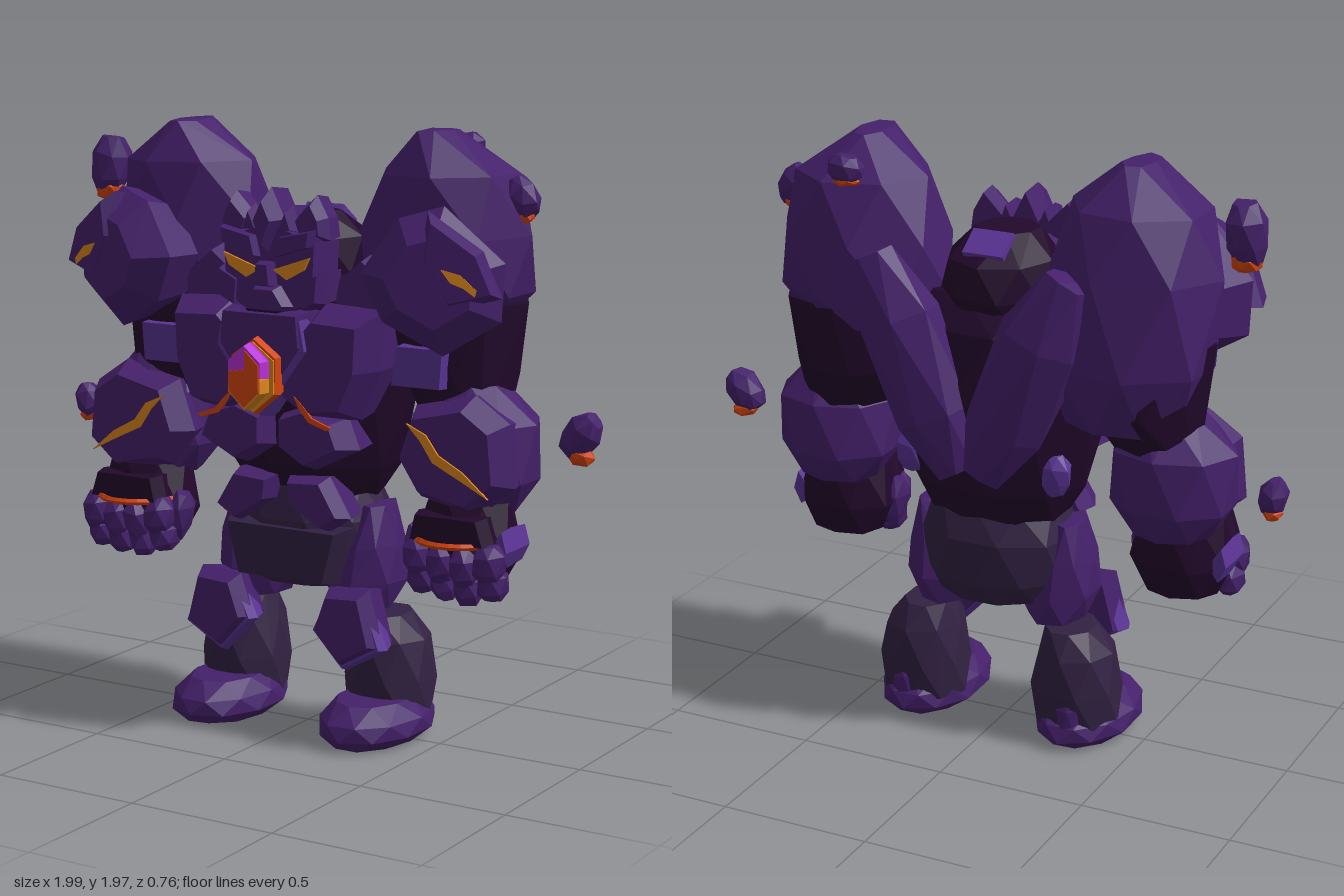
import * as THREE from 'three';
import { ConvexGeometry } from 'three/addons/geometries/ConvexGeometry.js';

const mat = (name, color) => {
  const m = new THREE.MeshStandardMaterial({ color, flatShading: true });
  m.name = name;
  return m;
};

export function createModel() {
  const purple = mat('purple rock', 0x44206a);
  const light = mat('light purple rock', 0x5a3394);
  const dark = mat('dark core rock', 0x22082b);
  const grey = mat('grey violet rock', 0x322142);
  const ember = mat('ember orange', 0xd4440c);
  const gold = mat('gold glow', 0xde861a);
  const violet = mat('violet crystal', 0xb830d8);
  const root = new THREE.Group();
  root.name = 'rockGolem';

  let seed = 7;
  const rand = () => ((seed = (seed * 16807) % 2147483647) / 2147483647) - 0.5;
  const V = (x, y, z) => new THREE.Vector3(x, y, z);

  function add(name, geometry, material, parent = root) {
    const m = new THREE.Mesh(geometry, material);
    m.name = name;
    parent.add(m);
    return m;
  }
  function group(name, parent = root) {
    const g = new THREE.Group();
    g.name = name;
    parent.add(g);
    return g;
  }
  // Faceted solid wrapped round rings of [y, cx, cz, rx, rz]
  function hull(name, rings, material, parent, s = 1, n = 7, jitter = 0.12) {
    const pts = [];
    rings.forEach(([y, cx, cz, rx, rz], k) => {
      for (let i = 0; i < n; i++) {
        const a = ((i + 0.5 * (k % 2)) / n) * Math.PI * 2, f = 1.04 + jitter * rand();
        pts.push(V(s * (cx + Math.cos(a) * rx * f), y + rand() * jitter * 0.12, cz + Math.sin(a) * rz * f));
      }
    });
    return add(name, new ConvexGeometry(pts), material, parent);
  }
  // Chipped stone of a given size at a position
  function rock(name, [w, h, d], [x, y, z], material, parent, rot = 0, n = 7) {
    const rings = [[-0.5, 0.55], [-0.25, 0.92], [0.2, 1], [0.5, 0.55]]
      .map(([t, f]) => [t * h, 0, 0, (w / 2) * f, (d / 2) * f]);
    const m = hull(name, rings, material, parent, 1, n);
    m.position.set(x, y, z);
    m.rotation.z = rot;
    return m;
  }
  // Bevelled plate: outline of [x, y] from zBack to zFront with a smaller front face
  function plate(name, outline, zBack, zFront, material, parent, s = 1, inset = 0.78) {
    const cx = outline.reduce((t, p) => t + p[0], 0) / outline.length;
    const cy = outline.reduce((t, p) => t + p[1], 0) / outline.length;
    const mid = zBack + (zFront - zBack) * 0.6, pts = [];
    for (const [x, y] of outline) {
      const at = (f, z) => pts.push(V(s * (cx + (x - cx) * f), cy + (y - cy) * f, z));
      at(0.88, zBack); at(1, mid); at(inset, zFront);
    }
    return add(name, new ConvexGeometry(pts), material, parent);
  }
  // Thin flat inlay lying on a front face
  function inlay(name, outline, z, material, parent, s = 1) {
    const shape = new THREE.Shape(outline.map(([x, y]) => new THREE.Vector2(s * x, y)));
    const g = new THREE.ExtrudeGeometry(shape, { depth: 0.009, bevelEnabled: false });
    g.translate(0, 0, z);
    return add(name, g, material, parent);
  }

  // Core of the body
  hull('torso', [[0.78, 0, -0.06, 0.22, 0.17], [0.9, 0, -0.06, 0.29, 0.22], [1.2, 0, -0.06, 0.37, 0.24],
    [1.42, 0, -0.06, 0.4, 0.2], [1.52, 0, -0.04, 0.24, 0.15]], dark, root, 1, 9, 0.05);
  hull('pelvis', [[0.5, 0, -0.05, 0.2, 0.17], [0.57, 0, -0.05, 0.25, 0.205], [0.72, 0, -0.05, 0.26, 0.21],
    [0.83, 0, -0.05, 0.21, 0.18]], grey, root, 1, 10, 0.05);
  plate('belt', [[-0.23, 0.71], [0.23, 0.71], [0.18, 0.52], [-0.18, 0.52]], 0, 0.175, grey, root, 1, 0.88);

  // Head
  const head = group('head');
  hull('skull', [[1.38, 0, -0.02, 0.15, 0.14], [1.52, 0, -0.05, 0.18, 0.19], [1.63, 0, -0.04, 0.17, 0.18],
    [1.71, 0, 0, 0.1, 0.1]], dark, head, 1, 8, 0.04);
  const chip = add('skullChip', new THREE.BoxGeometry(0.14, 0.02, 0.1), light, head);
  chip.position.set(0, 1.685, -0.14);
  chip.rotation.x = -0.6;
  plate('face', [[-0.18, 1.64], [-0.17, 1.46], [-0.09, 1.4], [0.09, 1.4], [0.17, 1.46], [0.18, 1.64], [0, 1.7]],
    0.07, 0.235, purple, head, 1, 0.93);
  plate('muzzle', [[-0.05, 1.5], [-0.1, 1.43], [-0.06, 1.38], [0.06, 1.38], [0.1, 1.43], [0.05, 1.5]],
    0.15, 0.27, purple, head, 1, 0.7);
  plate('nose', [[-0.025, 1.57], [-0.035, 1.49], [0.035, 1.49], [0.025, 1.57]], 0.2, 0.28, purple, head);
  plate('mouth', [[-0.07, 1.42], [0.07, 1.42], [0.04, 1.395], [-0.04, 1.395]], 0.2, 0.275, dark, head, 1, 0.9);
  plate('centreCrest', [[0, 1.8], [-0.05, 1.7], [0, 1.58], [0.05, 1.7]], 0.12, 0.28, purple, head, 1, 0.6);
  for (const s of [1, -1]) {
    inlay('eye', [[0.025, 1.545], [0.07, 1.56], [0.16, 1.59], [0.14, 1.55], [0.075, 1.515]], 0.242, gold, head, s);
    plate('brow', [[0.02, 1.575], [0.17, 1.62], [0.18, 1.68], [0.04, 1.65]], 0.12, 0.265, purple, head, s);
    plate('cheek', [[0.11, 1.51], [0.19, 1.55], [0.18, 1.44], [0.12, 1.41]], 0.1, 0.245, purple, head, s);
    plate('crownSpike', [[0.15, 1.78], [0.07, 1.7], [0.1, 1.62], [0.2, 1.64], [0.19, 1.71]], 0.12, 0.23, purple, head, s, 0.65);
    plate('innerSpike', [[0.07, 1.745], [0.03, 1.66], [0.1, 1.66]], 0.12, 0.25, purple, head, s, 0.6);
  }

  // Chest heart crystal
  const heart = group('heartCrystal');
  plate('keystoneRim', [[-0.15, 1.4], [0.15, 1.4], [0.17, 1.3], [0, 1.07], [-0.17, 1.3]], 0.1, 0.285, light, heart, 1, 0.95);
  plate('chestKeystone', [[-0.15, 1.42], [0.15, 1.42], [0.16, 1.31], [0, 1.09], [-0.16, 1.31]], 0.1, 0.295, purple, heart, 1, 0.9);
  plate('setting', [[0, 1.34], [0.085, 1.28], [0.085, 1.16], [0, 1.09], [-0.085, 1.16], [-0.085, 1.28]], 0.26, 0.325, ember, heart, 1, 0.95);
  inlay('settingGlow', [[0, 1.325], [0.078, 1.27], [0.078, 1.165], [0, 1.1], [-0.078, 1.165], [-0.078, 1.27]], 0.322, gold, heart);
  plate('lowerGem', [[0.065, 1.215], [0.065, 1.17], [0, 1.11], [-0.065, 1.17], [-0.065, 1.215]], 0.3, 0.38, gold, heart, 1, 0.9);
  plate('upperGem', [[0.065, 1.215], [0.065, 1.27], [0, 1.325], [-0.065, 1.27], [-0.065, 1.215]], 0.3, 0.38, violet, heart, 1, 0.9);
  inlay('gemFace', [[0.005, 1.305], [0.055, 1.26], [0.055, 1.175], [0, 1.125], [-0.055, 1.175], [-0.055, 1.235], [0.005, 1.245]],
    0.375, ember, heart);

  for (const s of [1, -1]) {
    const side = group(s > 0 ? 'leftSide' : 'rightSide');

    // Chest, belly and back slabs
    plate('collar', [[0.16, 1.42], [0.18, 1.52], [0.28, 1.6], [0.4, 1.5], [0.4, 1.4]], -0.12, 0.14, purple, side, s);
    plate('pectoral', [[0.38, 1.43], [0.17, 1.44], [0.03, 1.3], [0.03, 1.12], [0.13, 1.06], [0.3, 1.08], [0.37, 1.24]],
      0, 0.27, purple, side, s, 0.75);
    plate('ribPlate', [[0.01, 1.08], [0.12, 1.12], [0.25, 1.08], [0.29, 0.98], [0.13, 0.9], [0.01, 0.97]],
      0.02, 0.245, purple, side, s, 0.75);
    inlay('chestCrack', [[0.115, 1.155], [0.15, 1.125], [0.18, 1.09], [0.25, 1.065], [0.235, 1.055], [0.17, 1.075], [0.135, 1.115]],
      0.264, ember, side, s);
    plate('waistPlate', [[0.02, 0.87], [0.17, 0.88], [0.25, 0.75], [0.17, 0.7], [0.03, 0.79]], 0.05, 0.2, purple, side, s);
    rock('backSlab', [0.28, 0.74, 0.2], [s * 0.19, 1.31, -0.275], purple, side, -s * 0.42);
    rock('flankChip', [0.12, 0.13, 0.08], [s * 0.25, 0.98, -0.19], light, side);

    // Shoulder boulder, reaching lower on the right
    const base = s > 0 ? [[1.38, 0.45, -0.09, 0.2, 0.17], [1.48, 0.46, -0.09, 0.28, 0.2]]
      : [[1.16, 0.46, -0.13, 0.18, 0.13], [1.36, 0.47, -0.12, 0.27, 0.2]];
    hull('shoulderBoulder', [...base, [1.66, 0.48, -0.08, 0.28, 0.22], [1.85, 0.48, -0.05, 0.22, 0.2],
      [1.98, 0.46, -0.02, 0.05, 0.1]], purple, side, s, 7, 0.08);

    // Pauldron, turned outward
    const pauldron = group('pauldron', side);
    pauldron.position.set(s * 0.58, 1.54, 0.19);
    pauldron.rotation.y = s * 0.32;
    plate('pauldronStone', [[0.2, -0.12], [0.21, 0.06], [0.02, 0.23], [-0.12, 0.19], [-0.24, 0.02], [-0.17, -0.13], [0.02, -0.23]],
      -0.13, 0.09, purple, pauldron, s, 0.6);
    plate('pauldronChip', [[0.21, -0.04], [0.15, 0.1], [-0.02, 0.22], [-0.04, 0.08], [0.05, -0.08]], -0.02, 0.105, purple, pauldron, s, 0.8);
    inlay('pauldronCrack', [[0.03, 0.05], [0.09, 0.035], [0.14, -0.01], [0.135, -0.03], [0.1, -0.005], [0.06, 0.01]],
      0.1, gold, pauldron, s);

    // Arm
    hull('upperArm', [[1.08, 0.55, -0.06, 0.14, 0.13], [1.22, 0.51, -0.09, 0.18, 0.18], [1.45, 0.49, -0.09, 0.25, 0.19]],
      dark, side, s, 8, 0.05);
    plate('bicepPlate', [[0.38, 1.19], [0.4, 1.32], [0.57, 1.32], [0.56, 1.19]], 0, 0.13, light, side, s, 0.95);
    hull('forearm', [[0.8, 0.6, -0.04, 0.13, 0.13], [0.9, 0.6, -0.04, 0.2, 0.18], [1.08, 0.6, -0.04, 0.2, 0.18],
      [1.2, 0.59, -0.04, 0.1, 0.1]], purple, side, s, 8, 0.06);
    plate('bracer', [[0.8, 0.9], [0.78, 1.1], [0.66, 1.18], [0.45, 1.13], [0.39, 0.96], [0.47, 0.84], [0.68, 0.8]],
      -0.04, 0.16, purple, side, s, 0.78);
    inlay('bracerCrack', [[0.46, 1.085], [0.53, 1.055], [0.575, 0.995], [0.66, 0.95], [0.75, 0.875], [0.65, 0.925],
      [0.555, 0.97], [0.51, 1.035]], 0.158, gold, side, s);
    hull('hand', [[0.58, 0.61, 0.02, 0.12, 0.1], [0.68, 0.61, 0.03, 0.17, 0.14], [0.84, 0.61, 0.02, 0.13, 0.13]],
      dark, side, s, 8, 0.05);
    plate('handBack', [[0.47, 0.72], [0.49, 0.81], [0.73, 0.81], [0.76, 0.72]], 0.05, 0.185, dark, side, s, 0.88);
    const glow = new THREE.TorusGeometry(0.135, 0.011, 5, 12, Math.PI);
    glow.rotateX(Math.PI / 2);
    add('wristGlow', glow, ember, side).position.set(s * 0.61, 0.725, 0.085);
    plate('handSide', [[0.77, 0.77], [0.79, 0.7], [0.76, 0.64], [0.72, 0.7]], -0.05, 0.11, light, side, s, 0.9);
    for (let i = 0; i < 4; i++) {
      const x = s * (0.495 + i * 0.083), lift = Math.abs(i - 1.6) * 0.018;
      rock('knuckle', [0.1, 0.12, 0.13], [x, 0.645 + lift, 0.14], purple, side, 0, 6);
      rock('finger', [0.09, 0.11, 0.13], [x, 0.575 + lift, 0.11], purple, side, 0, 6);
    }
    rock('thumb', [0.08, 0.16, 0.11], [s * 0.46, 0.67, 0.07], purple, side, s * 0.2, 6);

    // Leg
    hull('thigh', [[0.43, 0.2, -0.03, 0.09, 0.12], [0.52, 0.2, -0.03, 0.13, 0.14], [0.64, 0.25, -0.03, 0.07, 0.12],
      [0.77, 0.25, -0.04, 0.04, 0.08]], purple, side, s, 7, 0.06);
    plate('kneeRim', [[0.32, 0.5], [0.17, 0.5], [0.11, 0.375], [0.23, 0.25], [0.38, 0.335]], 0.08, 0.17, light, side, s, 0.9);
    plate('kneePlate', [[0.32, 0.53], [0.17, 0.52], [0.12, 0.38], [0.23, 0.26], [0.37, 0.34]], 0.06, 0.2, purple, side, s, 0.78);
    hull('shin', [[0.08, 0.28, -0.06, 0.14, 0.13], [0.2, 0.28, -0.06, 0.145, 0.145], [0.33, 0.28, -0.06, 0.125, 0.135],
      [0.41, 0.26, -0.06, 0.08, 0.1]], grey, side, s, 8, 0.05);
    hull('foot', [[0.015, 0.285, 0.03, 0.12, 0.2], [0.05, 0.285, 0.03, 0.16, 0.24], [0.1, 0.285, 0.03, 0.155, 0.235],
      [0.15, 0.28, 0.03, 0.11, 0.17]], purple, side, s, 10, 0.04);
    rock('heel', [0.09, 0.13, 0.07], [s * 0.3, 0.13, -0.17], purple, side);
  }

  // Floating shards with glowing undersides: position, size, tilt
  const shards = [
    [[-0.83, 1.81, -0.07], [0.13, 0.19, 0.14], -0.1],
    [[-0.95, 0.99, -0.09], [0.09, 0.11, 0.1], 0.25],
    [[0.93, 1.05, -0.11], [0.12, 0.14, 0.11], -0.7],
    [[0.73, 1.78, -0.08], [0.1, 0.12, 0.1], 0.5],
    [[0.43, 1.91, -0.27], [0.12, 0.08, 0.09], 0.1],
  ];
  for (const [[x, y, z], [w, h, d], tilt] of shards) {
    rock('floatingShard', [w, h, d], [x, y, z], purple, root, tilt);
    rock('shardEmber', [w * 0.75, h * 0.38, d * 0.7], [x, y - h * 0.45, z], ember, root, tilt * 0.3, 6);
  }
  return root;
}
